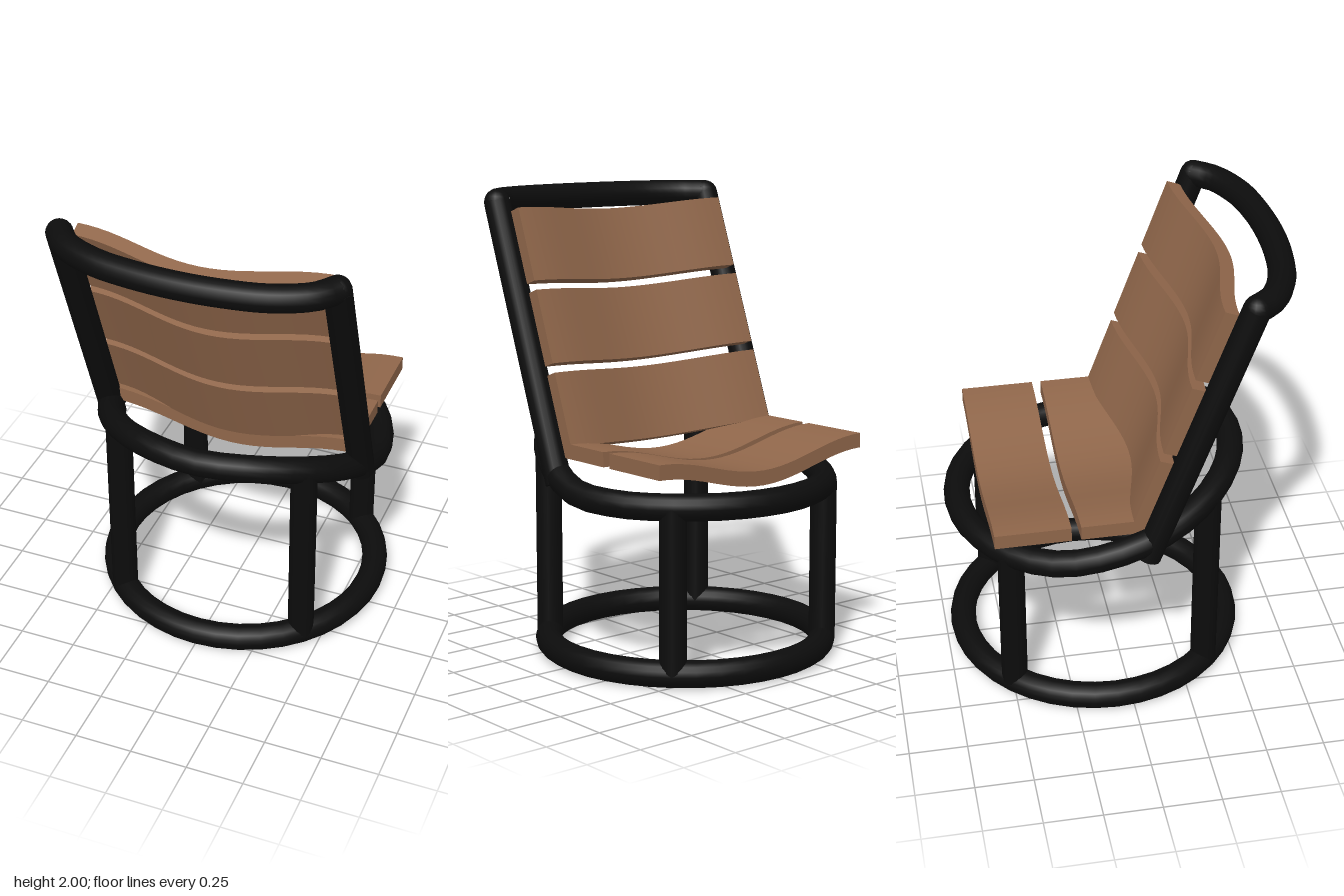
import * as THREE from 'three';
import { toCreasedNormals } from 'three/addons/utils/BufferGeometryUtils.js';

const TUBE = 0.057, RING = 0.598, RING_Z = -0.075;

export function createModel() {
  const model = new THREE.Group();
  model.name = 'slattedChair';
  const metal = new THREE.MeshStandardMaterial({ color: 0x0c0c0c });
  metal.name = 'black metal';
  const wood = new THREE.MeshStandardMaterial({ color: 0x8f664a });
  wood.name = 'brown wood';

  const add = (name, geometry, material) => {
    const mesh = new THREE.Mesh(geometry, material);
    mesh.name = name;
    model.add(mesh);
    return mesh;
  };
  // Straight round bar between two points
  const bar = (name, a, b) => {
    const dir = b.clone().sub(a);
    const mesh = add(name, new THREE.CylinderGeometry(TUBE, TUBE, dir.length(), 16), metal);
    mesh.position.copy(a).addScaledVector(dir, 0.5);
    mesh.quaternion.setFromUnitVectors(new THREE.Vector3(0, 1, 0), dir.normalize());
  };
  const onRing = (angle, y) =>
    new THREE.Vector3(RING * Math.cos(angle), y, RING_Z + RING * Math.sin(angle));

  // Floor ring
  const base = add('baseRing', new THREE.TorusGeometry(RING, TUBE, 16, 40), metal);
  base.rotation.x = Math.PI / 2;
  base.position.set(0, 0.059, RING_Z);

  // Seat ring: flat under the seat, rising behind the backrest, slightly uneven at the sides
  const heights = [0.775, 0.865, 0.945, 0.99, 0.995, 0.99, 0.95, 0.89,
    0.83, 0.775, 0.757, 0.757, 0.757, 0.757, 0.757, 0.757];
  const ringCurve = new THREE.CatmullRomCurve3(
    heights.map((y, i) => onRing(i * Math.PI / 8, y)), true);
  add('seatRing', new THREE.TubeGeometry(ringCurve, 40, TUBE, 16, true), metal);

  // Four legs on the diagonals
  for (const i of [2, 6, 10, 14]) {
    const angle = i * Math.PI / 8;
    bar('leg', onRing(angle, 0.059), onRing(angle, heights[i]));
  }

  // Back posts with rounded corners
  for (const side of [-1, 1]) {
    const top = new THREE.Vector3(side * 0.583, 1.943, 0.477);
    bar('backPost', new THREE.Vector3(side * 0.583, 0.79, 0.057), top);
    add('backCorner', new THREE.SphereGeometry(TUBE, 16, 12), metal).position.copy(top);
  }

  // Bowed top rail
  const railCurve = new THREE.CatmullRomCurve3(
    [[-0.583, 0.477], [-0.52, 0.555], [-0.37, 0.628], [-0.19, 0.662], [0, 0.673],
      [0.19, 0.662], [0.37, 0.628], [0.52, 0.555], [0.583, 0.477]]
      .map(([x, z]) => new THREE.Vector3(x, 1.943, z)));
  add('topRail', new THREE.TubeGeometry(railCurve, 28, TUBE, 16), metal);

  // Slat cross-section: a board dished in the middle
  const half = 0.56, thick = 0.063, sag = 0.092, steps = 24;
  const upper = [], lower = [];
  for (let i = 0; i <= steps; i++) {
    const x = -half + 2 * half * i / steps;
    const y = -sag * (1 + Math.cos(Math.PI * x / half)) / 2;
    upper.unshift(new THREE.Vector2(x, y));
    lower.push(new THREE.Vector2(x, y - thick));
  }
  const slatGeometry = toCreasedNormals(new THREE.ExtrudeGeometry(
    new THREE.Shape([...lower, ...upper]), { depth: 0.32, bevelEnabled: false }), 0.5);

  // Two seat slats
  for (const z of [-0.578, -0.218]) {
    add('seatSlat', slatGeometry, wood).position.set(0, 0.96, z);
  }
  // Three back slats, leaning 20 degrees
  const lean = 20 * Math.PI / 180;
  for (let i = 0; i < 3; i++) {
    const slat = add('backSlat', slatGeometry, wood);
    slat.rotation.x = lean - Math.PI / 2;
    slat.position.set(0, 0.95 + i * 0.36 * Math.cos(lean), i * 0.36 * Math.sin(lean));
  }
  return model;
}
